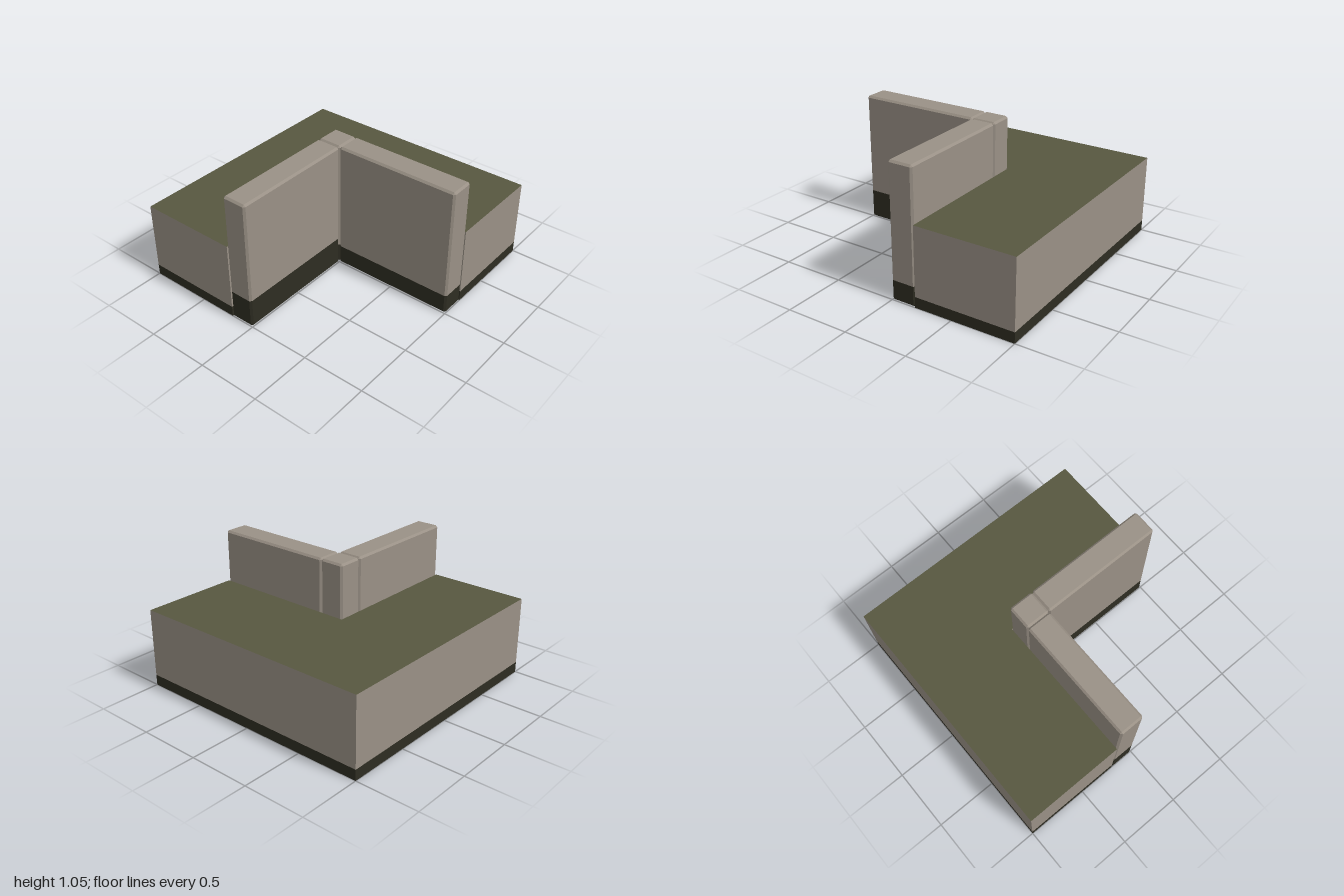
import * as THREE from 'three';
import { ConvexGeometry } from 'three/addons/geometries/ConvexGeometry.js';

const stone = new THREE.MeshStandardMaterial({ color: 0x9a9186 });
stone.name = 'stone grey';
const grass = new THREE.MeshStandardMaterial({ color: 0x575740 });
grass.name = 'olive ground';
const footing = new THREE.MeshStandardMaterial({ color: 0x2e2d22 });
footing.name = 'dark footing';

const CHAMFER = 0.015;
const WALL_TOP = 1.055;

// Part of a chamfered block between two heights; only the real ends are chamfered
function blockPart(x0, x1, z0, z1, y0, y1, chamferBottom, chamferTop) {
  const c = CHAMFER, points = [];
  for (const [x, sx] of [[x0, 1], [x1, -1]]) {
    for (const [z, sz] of [[z0, 1], [z1, -1]]) {
      for (const [y, sy, chamfered] of [[y0, 1, chamferBottom], [y1, -1, chamferTop]]) {
        const ye = chamfered ? y + sy * c : y;
        points.push(new THREE.Vector3(x + sx * c, ye, z), new THREE.Vector3(x, ye, z + sz * c));
        if (chamfered) points.push(new THREE.Vector3(x + sx * c, y, z + sz * c));
      }
    }
  }
  return new ConvexGeometry(points);
}

// Wall block with a dark foot up to footHeight
function wall(name, x0, x1, z0, z1, footHeight) {
  const group = new THREE.Group();
  group.name = name;
  const foot = new THREE.Mesh(blockPart(x0, x1, z0, z1, 0, footHeight, true, false), footing);
  foot.name = name + 'Foot';
  const body = new THREE.Mesh(blockPart(x0, x1, z0, z1, footHeight, WALL_TOP, false, true), stone);
  body.name = name + 'Body';
  group.add(foot, body);
  return group;
}

// L-shaped layer of the raised ground
function groundLayer(name, y0, y1, capMaterial, sideMaterial) {
  const outline = new THREE.Shape(
    [[-1, 0.2], [0.2, 0.2], [0.2, -1], [1, -1], [1, 1], [-1, 1]].map(([x, y]) => new THREE.Vector2(x, y))
  );
  const geometry = new THREE.ExtrudeGeometry(outline, { depth: y1 - y0, bevelEnabled: false });
  geometry.rotateX(-Math.PI / 2).translate(0, y0, 0);
  const mesh = new THREE.Mesh(geometry, [capMaterial, sideMaterial]);
  mesh.name = name;
  return mesh;
}

export function createModel() {
  const model = new THREE.Group();
  model.name = 'cornerTerrace';
  model.add(
    groundLayer('groundBase', 0, 0.085, footing, footing),
    groundLayer('raisedGround', 0.085, 0.63, grass, stone),
    wall('sideWall', -1, 0, -0.2, 0, 0.235),
    wall('cornerPost', 0, 0.2, -0.2, 0, 0.16),
    wall('frontWall', 0, 0.2, 0, 1, 0.16)
  );
  return model;
}
